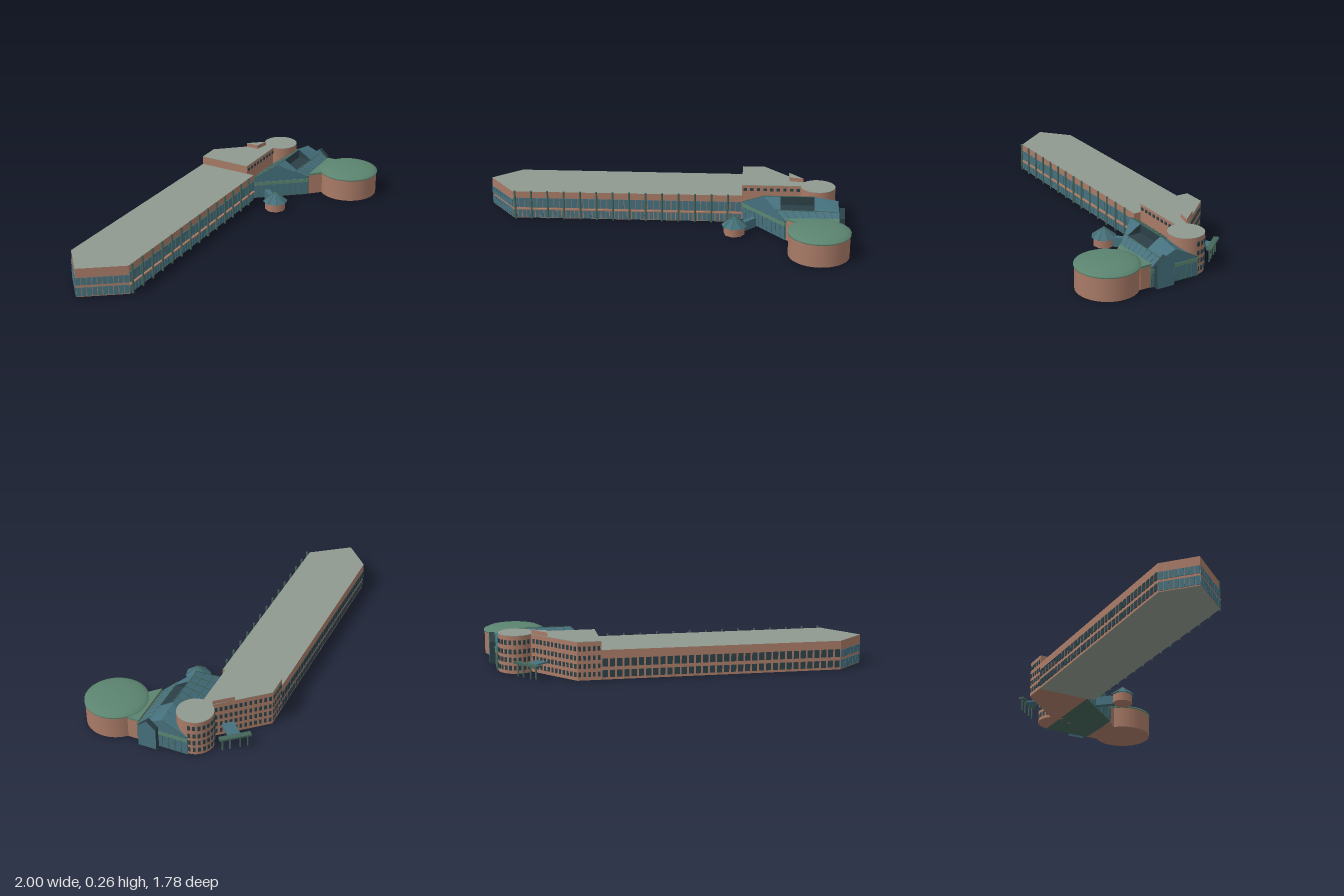
import * as THREE from 'three';

const mat = (name, color, side = THREE.FrontSide) => {
  const m = new THREE.MeshStandardMaterial({ color, side });
  m.name = name;
  return m;
};

export function createModel() {
  const root = new THREE.Group();
  const brick = mat('brick', 0xa87a66);
  const roof = mat('roof grey', 0x8f998f);
  const glass = mat('teal glass', 0x45707d, THREE.DoubleSide);
  const dark = mat('dark glass', 0x2b4047, THREE.DoubleSide);
  const green = mat('copper green', 0x5b8470);
  const trim = mat('dark green trim', 0x44655a);

  const add = (name, geo, m, parent = root) => {
    const mesh = new THREE.Mesh(geo, m);
    mesh.name = name;
    parent.add(mesh);
    return mesh;
  };
  const group = (name) => {
    const g = new THREE.Group();
    g.name = name;
    root.add(g);
    return g;
  };
  // upright prism over a plan outline of [x, z] points
  const prism = (name, pts, y0, y1, m, parent) => {
    const shape = new THREE.Shape(pts.map(([x, z]) => new THREE.Vector2(x, -z)));
    const geo = new THREE.ExtrudeGeometry(shape, { depth: y1 - y0, bevelEnabled: false });
    geo.rotateX(-Math.PI / 2).translate(0, y0, 0);
    return add(name, geo, m, parent);
  };
  // plate along the wall a-b between fractions s0..s1
  const plate = (name, a, b, s0, s1, y0, y1, m, parent, depth = 0.008) => {
    const dx = b[0] - a[0], dz = b[1] - a[1], s = (s0 + s1) / 2;
    const mesh = add(name, new THREE.BoxGeometry(Math.hypot(dx, dz) * (s1 - s0), y1 - y0, depth), m, parent);
    mesh.position.set(a[0] + dx * s, (y0 + y1) / 2, a[1] + dz * s);
    mesh.rotation.y = Math.atan2(-dz, dx);
    return mesh;
  };
  const windows = (a, b, n, fill, rows, m, parent) => {
    for (const [y0, y1] of rows)
      for (let i = 0; i < n; i++)
        plate('window', a, b, (i + 0.5 - fill / 2) / n, (i + 0.5 + fill / 2) / n, y0, y1, m, parent);
  };
  // flat convex face
  const face = (name, pts, m, parent) => {
    const tri = [];
    for (let i = 1; i < pts.length - 1; i++) tri.push(pts[0], pts[i], pts[i + 1]);
    const geo = new THREE.BufferGeometry().setFromPoints(tri);
    geo.computeVertexNormals();
    return add(name, geo, m, parent);
  };
  const bar = (name, p, q, w, m, parent) => {
    const mesh = add(name, new THREE.BoxGeometry(w, w, p.distanceTo(q)), m, parent);
    mesh.position.copy(p).lerp(q, 0.5);
    mesh.lookAt(q);
    return mesh;
  };
  const cyl = (name, x, z, r, y0, y1, n, m, parent, top = r) => {
    const mesh = add(name, new THREE.CylinderGeometry(top, r, y1 - y0, n), m, parent);
    mesh.position.set(x, (y0 + y1) / 2, z);
    return mesh;
  };

  // long wing
  const wing = group('longWing');
  const A = [-0.17, -0.57], B = [-1, 0.65], C = [-0.97, 0.885], D = [-0.67, 0.87], E = [0.15, -0.35];
  prism('wingBody', [A, B, C, D, E], 0, 0.18, [roof, brick], wing);
  windows(A, B, 34, 0.72, [[0.015, 0.058], [0.08, 0.128]], dark, wing);
  windows(B, C, 8, 0.88, [[0.006, 0.06], [0.076, 0.122]], glass, wing);
  windows(C, D, 10, 0.88, [[0.006, 0.06], [0.076, 0.122]], glass, wing);
  windows(D, E, 52, 0.8, [[0.004, 0.058]], glass, wing);
  windows(D, E, 39, 0.9, [[0.074, 0.137]], glass, wing);
  plate('ledge', D, E, 0, 1, 0.06, 0.068, brick, wing, 0.026);

  // front colonnade
  const u = [0.558, -0.83], v = [0.83, 0.558];
  for (let i = 0; i < 14; i++) {
    const s = (i + 0.15) / 14;
    const x = D[0] + (E[0] - D[0]) * s + v[0] * 0.013, z = D[1] + (E[1] - D[1]) * s + v[1] * 0.013;
    cyl('post', x, z, 0.0065, 0, 0.19, 8, trim, wing);
  }

  // taller head block with round tower
  const head = group('headBlock');
  const F = [-0.09, -0.69], G = [0.27, -0.74], H = [0.44, -0.865], I = [0.11, -0.375];
  prism('headBody', [A, F, G, [0.38, -0.78], H, I], 0, 0.232, brick, head);
  prism('headRoof', [A, F, G, [0.38, -0.78], H, I], 0.232, 0.235, roof, head);
  cyl('tower', 0.38, -0.775, 0.11, 0, 0.232, 32, brick, head);
  cyl('towerRoof', 0.38, -0.775, 0.11, 0.232, 0.235, 32, roof, head);
  prism('roofWedge', [[0.14, -0.722], [0.21, -0.675], [0.275, -0.738]], 0.235, 0.26, [roof, brick], head);
  const rows = [0.022, 0.072, 0.122, 0.178].map((y) => [y, y + 0.028]);
  windows(A, F, 5, 0.5, rows, dark, head);
  windows(F, G, 12, 0.5, rows, dark, head);
  windows(I, H, 14, 0.5, [[0.197, 0.215]], dark, head);
  for (const [y0, y1] of rows)
    for (let i = 0; i < 9; i++) {
      const a = Math.PI * (0.98 + i * 0.085);
      const w = add('towerWindow', new THREE.BoxGeometry(0.016, y1 - y0, 0.008), dark, head);
      w.position.set(0.38 + Math.cos(a) * 0.11, (y0 + y1) / 2, -0.775 + Math.sin(a) * 0.11);
      w.rotation.y = Math.PI / 2 - a;
    }

  // glazed atrium, set out along the wing (a) and across it (b)
  const atrium = group('atrium');
  const P = (a, y, b) => new THREE.Vector3(E[0] + u[0] * a + v[0] * b, y, E[1] + u[1] * a + v[1] * b);
  const plan = (p) => [p.x, p.z];
  const S = [P(0, 0.118, -0.05), P(0.1325, 0.225, 0.11), P(0.207, 0.169, 0.2), P(0.265, 0.125, 0.27)];
  const N = [P(0.6, 0.118, -0.05), P(0.6, 0.2, 0.11), P(0.6, 0.162, 0.2), P(0.6, 0.125, 0.27)];
  const ground = (p) => new THREE.Vector3(p.x, 0, p.z);
  const T = [P(0.24, 0.225, 0.11), P(0.45, 0.225, 0.11), P(0.24, 0.168, 0.2), P(0.45, 0.166, 0.2)];
  const low = [P(0.24, 0.168, 0.11), P(0.45, 0.166, 0.11)];
  prism('floor', [S[0], S[3], N[3], N[0]].map(plan), 0, 0.004, trim, atrium);
  face('southWall', [ground(S[0]), ground(S[3]), S[3], S[2], S[1], S[0]], glass, atrium);
  face('northWall', [ground(N[3]), ground(N[0]), N[0], N[1], N[2], N[3]], glass, atrium);
  face('eastWall', [ground(S[3]), ground(N[3]), N[3], S[3]], glass, atrium);
  face('westSlope', [S[0], S[1], T[1], N[0]], glass, atrium);
  face('westSlopeEnd', [T[1], N[1], N[0]], glass, atrium);
  face('eastSlopeFront', [S[1], S[2], T[2], T[0]], glass, atrium);
  face('eastSlopeBack', [T[1], T[3], N[2], N[1]], glass, atrium);
  face('eastSlopeLower', [S[2], S[3], N[3], N[2]], glass, atrium);
  face('troughBack', [T[0], low[0], low[1], T[1]], dark, atrium);
  face('troughFloor', [low[0], T[2], T[3], low[1]], dark, atrium);
  face('troughFront', [T[0], T[2], low[0]], dark, atrium);
  face('troughEnd', [T[1], low[1], T[3]], dark, atrium);

  // glazing bars
  const mix = (p, q, t) => p.clone().lerp(q, t);
  for (let i = 0; i <= 8; i++) {
    const t = i / 8;
    bar('rafter', mix(S[0], N[0], t), t < 0.75 ? mix(S[1], T[1], t / 0.75) : mix(T[1], N[1], (t - 0.75) * 4), 0.004, trim, atrium);
    bar('rafter', mix(S[2], N[2], t), mix(S[3], N[3], t), 0.004, trim, atrium);
  }
  for (const t of [0.25, 0.5, 0.75, 1]) bar('purlin', mix(S[0], S[1], t), mix(N[0], T[1], t), 0.004, trim, atrium);
  bar('purlin', S[2], N[2], 0.004, trim, atrium);
  bar('eave', S[3], N[3], 0.006, trim, atrium);
  for (const [p, q, n] of [[S[0], S[3], 10], [N[0], N[3], 8], [S[3], N[3], 8]]) {
    plate('greenBand', plan(p), plan(q), 0, 1, 0.09, 0.112, green, atrium);
    for (let i = 0; i <= n; i++) {
      const a = mix(p, q, i / n);
      bar('mullion', ground(a), a.setY(0.116), 0.004, trim, atrium);
    }
  }

  // gabled end bay
  const bay = [0.6, 0.635].map((a) => [P(a, 0, 0.135), P(a, 0.14, 0.135), P(a, 0.19, 0.193), P(a, 0.14, 0.25), P(a, 0, 0.25)]);
  face('bayEnd', bay[1], glass, atrium);
  for (let i = 0; i < 4; i++)
    face('baySide', [bay[0][i], bay[1][i], bay[1][i + 1], bay[0][i + 1]], dark, atrium);

  // link to the drum
  const link = [[0.53, -0.425], [0.63, -0.445], [0.8, -0.5], [0.76, -0.655], [0.7, -0.695]];
  prism('linkBody', link, 0, 0.132, brick);
  prism('linkRoof', link, 0.132, 0.145, green);

  // round hall with shallow dome
  const hall = group('roundHall');
  cyl('hallDrum', 0.805, -0.47, 0.186, 0, 0.143, 32, brick, hall);
  const dome = [[0.186, 0.14], [0.191, 0.143], [0.191, 0.151], [0.165, 0.163], [0.12, 0.172], [0.06, 0.178], [0, 0.18]];
  const cap = add('hallDome', new THREE.LatheGeometry(dome.map(([x, y]) => new THREE.Vector2(x, y)), 32), green, hall);
  cap.position.set(0.805, 0, -0.47);

  // octagonal pavilion and its walkway
  const pavilion = group('pavilion');
  cyl('pavilionBody', 0.28, -0.207, 0.066, 0, 0.055, 8, brick, pavilion);
  const tent = cyl('pavilionRoof', 0.28, -0.207, 0.08, 0.055, 0.118, 8, glass, pavilion, 0.004);
  tent.geometry = tent.geometry.toNonIndexed();
  tent.geometry.computeVertexNormals();
  for (let i = 0; i < 8; i++) {
    const a = (i * Math.PI) / 4;
    bar('hipBar', new THREE.Vector3(0.28 + Math.sin(a) * 0.08, 0.056, -0.207 + Math.cos(a) * 0.08),
      new THREE.Vector3(0.28, 0.119, -0.207), 0.004, trim, pavilion);
  }
  plate('walkway', [0.245, -0.38], [0.272, -0.26], 0, 1, 0, 0.06, glass, pavilion, 0.035);

  // rear entrance canopy
  const canopy = group('entranceCanopy');
  plate('canopyStem', [0.185, -0.725], [0.165, -0.86], 0, 1, 0.072, 0.082, glass, canopy, 0.075);
  plate('canopyBar', [0.07, -0.855], [0.26, -0.875], 0, 1, 0.078, 0.09, trim, canopy, 0.034);
  for (const [x, z] of [[0.09, -0.857], [0.135, -0.862], [0.195, -0.868], [0.24, -0.873]])
    cyl('canopyPost', x, z, 0.005, 0, 0.08, 8, trim, canopy);

  return root;
}
